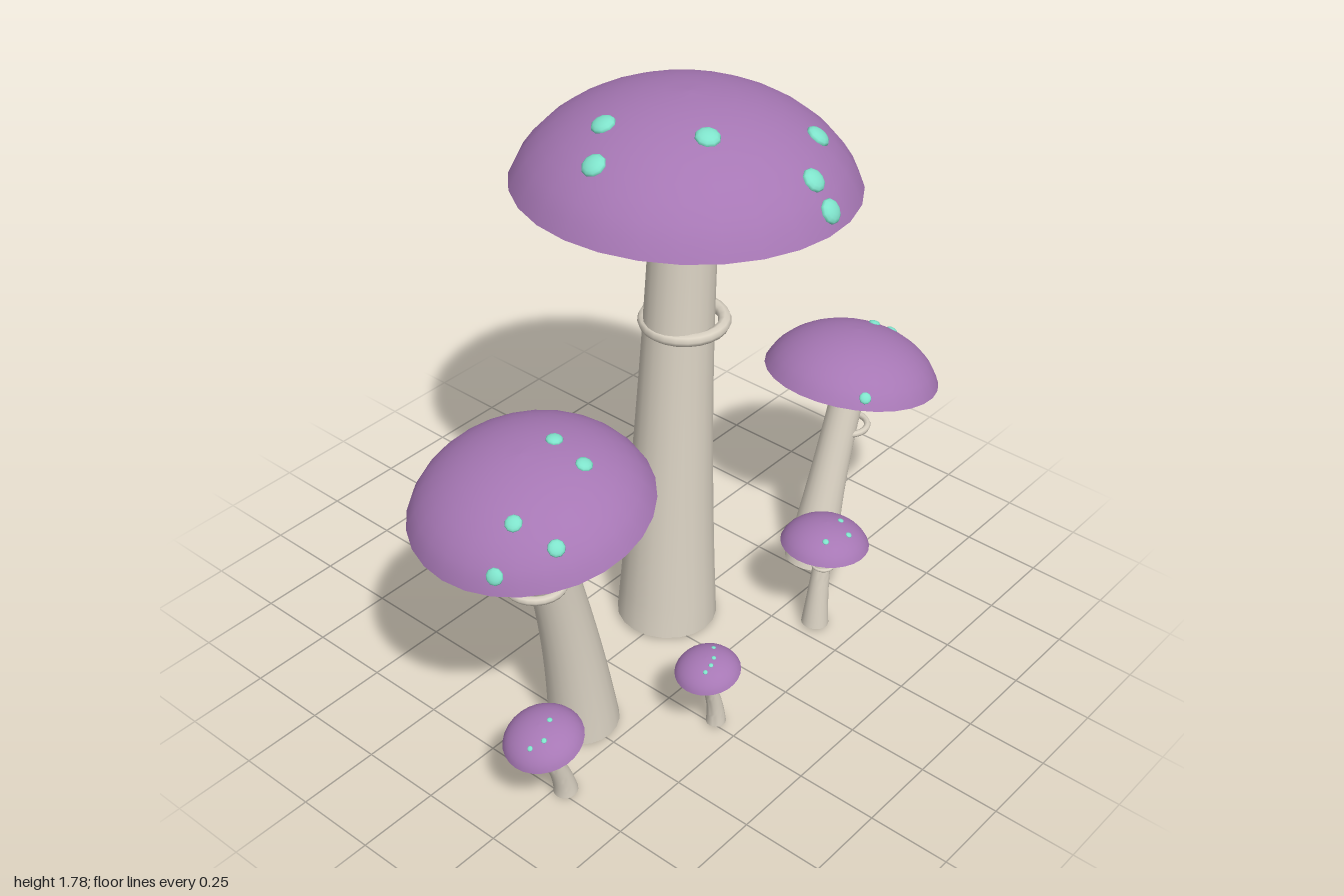
import * as THREE from 'three';
import { mergeVertices, toCreasedNormals } from 'three/addons/utils/BufferGeometryUtils.js';

const paint = (color, side = THREE.FrontSide) => new THREE.MeshStandardMaterial({ color, side });
const capMat = paint(0xa677b4, THREE.DoubleSide);
const gillMat = paint(0x437567, THREE.DoubleSide);
const stemMat = paint(0xd9d1c2);
const spotMat = paint(0x7fe3cb);

// Dome profile: part of an ellipse, cut before its equator
const MAX = 0.42 * Math.PI, RISE = 0.54;
const RX = 1 / Math.sin(MAX), RY = RISE / (1 - Math.cos(MAX));
const domeHeight = (q) => RY * (Math.sqrt(Math.max(0, 1 - (q / RX) ** 2)) - Math.cos(MAX));

// stem: base, bend and top as [x, y], all at depth z; radii r0 (base) and r1 (top)
// cap: [x, y] of the rim centre, radius, tilt; spots: [x, z] seen from above
const mushrooms = [
  { name: 'tallMushroom', z: -0.025, stem: [[0.06, 0.015], [0.085, 0.75], [0.135, 1.46]], r0: 0.157, r1: 0.099, ringY: 1.06,
    cap: [0.137, 1.515], r: 0.498, tilt: -0.04, spotR: 0.036,
    spots: [[-0.1, -0.117], [-0.22, -0.043], [0.01, 0.155], [0.33, 0.28], [0.175, 0.385], [0.175, 0.445]] },
  { name: 'rightMediumMushroom', z: 0.122, stem: [[-0.49, 0.02], [-0.533, 0.45], [-0.665, 0.86]], r0: 0.107, r1: 0.067, ringY: 0.647,
    cap: [-0.668, 0.918], r: 0.338, tilt: 0.166, spotR: 0.024,
    spots: [[-0.855, 0.245], [-0.95, 0.265], [-0.82, 0.36], [-0.61, 0.265], [-0.6, 0.15]] },
  { name: 'leftMediumMushroom', z: 0.172, stem: [[0.56, 0.02], [0.587, 0.2], [0.72, 0.615]], r0: 0.088, r1: 0.053, ringY: 0.47,
    cap: [0.723, 0.666], r: 0.277, tilt: -0.184, spotR: 0.019,
    spots: [[0.86, 0.155], [0.94, 0.17], [0.545, 0.35]] },
  { name: 'rightSmallMushroom', z: 0.278, stem: [[-0.735, 0.015], [-0.743, 0.09], [-0.813, 0.212]], r0: 0.036, r1: 0.025, ringY: 0.2,
    cap: [-0.815, 0.27], r: 0.116, tilt: 0.256, spotR: 0.008,
    spots: [[-0.89, 0.3], [-0.855, 0.32], [-0.8, 0.29]] },
  { name: 'frontSmallMushroom', z: 0.422, stem: [[-0.237, 0.015], [-0.24, 0.1], [-0.28, 0.187]], r0: 0.03, r1: 0.02, ringY: 0.178,
    cap: [-0.28, 0.242], r: 0.097, tilt: 0.165, spotR: 0.007,
    spots: [[-0.325, 0.45], [-0.3, 0.45], [-0.275, 0.44], [-0.24, 0.41]] },
  { name: 'leftSmallMushroom', z: 0.373, stem: [[0.313, 0.015], [0.32, 0.15], [0.34, 0.265]], r0: 0.043, r1: 0.027, ringY: 0.228,
    cap: [0.342, 0.315], r: 0.137, tilt: -0.07, spotR: 0.01,
    spots: [[0.39, 0.395], [0.357, 0.45], [0.28, 0.42]] },
];

function part(parent, name, geometry, material) {
  const mesh = new THREE.Mesh(geometry, material);
  mesh.name = name;
  parent.add(mesh);
  return mesh;
}

// Cylinder bent along a curve, flaring towards its base
function stemGeometry({ stem, z, r0, r1 }) {
  const curve = new THREE.QuadraticBezierCurve(...stem.map((p) => new THREE.Vector2(...p)));
  let geo = new THREE.CylinderGeometry(1, 1, 1, 20, 14);
  geo.deleteAttribute('uv');
  geo.deleteAttribute('normal');
  geo = mergeVertices(geo);
  const pos = geo.attributes.position;
  for (let i = 0; i < pos.count; i++) {
    const t = THREE.MathUtils.clamp(pos.getY(i) + 0.5, 0, 1);
    const p = curve.getPoint(t), d = curve.getTangent(t);
    const r = r1 + (r0 - r1) * (1 - t) ** 1.7;
    const a = pos.getX(i) * r;
    pos.setXYZ(i, p.x + d.y * a, p.y - d.x * a, z + pos.getZ(i) * r);
  }
  return toCreasedNormals(geo, 0.9);
}

function domeGeometry(r) {
  const profile = [];
  for (let i = 0; i <= 10; i++) {
    const a = MAX * (1 - i / 10);
    profile.push(new THREE.Vector2(i === 10 ? 0 : r * RX * Math.sin(a), r * RY * (Math.cos(a) - Math.cos(MAX))));
  }
  return new THREE.LatheGeometry(profile, 28);
}

function buildMushroom(m) {
  const group = new THREE.Group();
  group.name = m.name;
  part(group, 'stem', stemGeometry(m), stemMat);

  // Level ring hanging around the stem
  const ring = part(group, 'ring', new THREE.TorusGeometry(m.r1 * 1.2, m.r1 * 0.2, 8, 24), stemMat);
  ring.rotation.x = Math.PI / 2;
  ring.position.set(m.stem[2][0], m.ringY, m.z);

  // Tilted cap with gills and spots
  const cap = new THREE.Group();
  cap.name = 'cap';
  cap.position.set(m.cap[0], m.cap[1], m.z);
  cap.rotation.z = m.tilt;
  group.add(cap);
  part(cap, 'dome', domeGeometry(m.r), capMat);
  const gills = part(cap, 'gills', new THREE.CircleGeometry(m.r * 0.975, 28), gillMat);
  gills.rotation.x = Math.PI / 2;
  gills.position.y = m.r * 0.015;

  const up = new THREE.Vector3(0, 1, 0);
  for (const [x, z] of m.spots) {
    // Find the point on the tilted dome below the given x and z
    const w = (z - m.z) / m.r;
    let u = (x - m.cap[0]) / m.r, h = 0;
    for (let k = 0; k < 12; k++) {
      h = Math.max(0, domeHeight(Math.hypot(u, w)));
      u = ((x - m.cap[0]) / m.r + h * Math.sin(m.tilt)) / Math.cos(m.tilt);
    }
    const spot = part(cap, 'spot', new THREE.SphereGeometry(m.spotR, 10, 8), spotMat);
    spot.scale.y = 0.5;
    spot.position.set(u, h, w).multiplyScalar(m.r);
    const normal = new THREE.Vector3(u / RX ** 2, (h + RY * Math.cos(MAX)) / RY ** 2, w / RX ** 2).normalize();
    spot.quaternion.setFromUnitVectors(up, normal);
  }
  return group;
}

export function createModel() {
  const model = new THREE.Group();
  model.name = 'mushroomCluster';
  for (const m of mushrooms) model.add(buildMushroom(m));
  return model;
}
